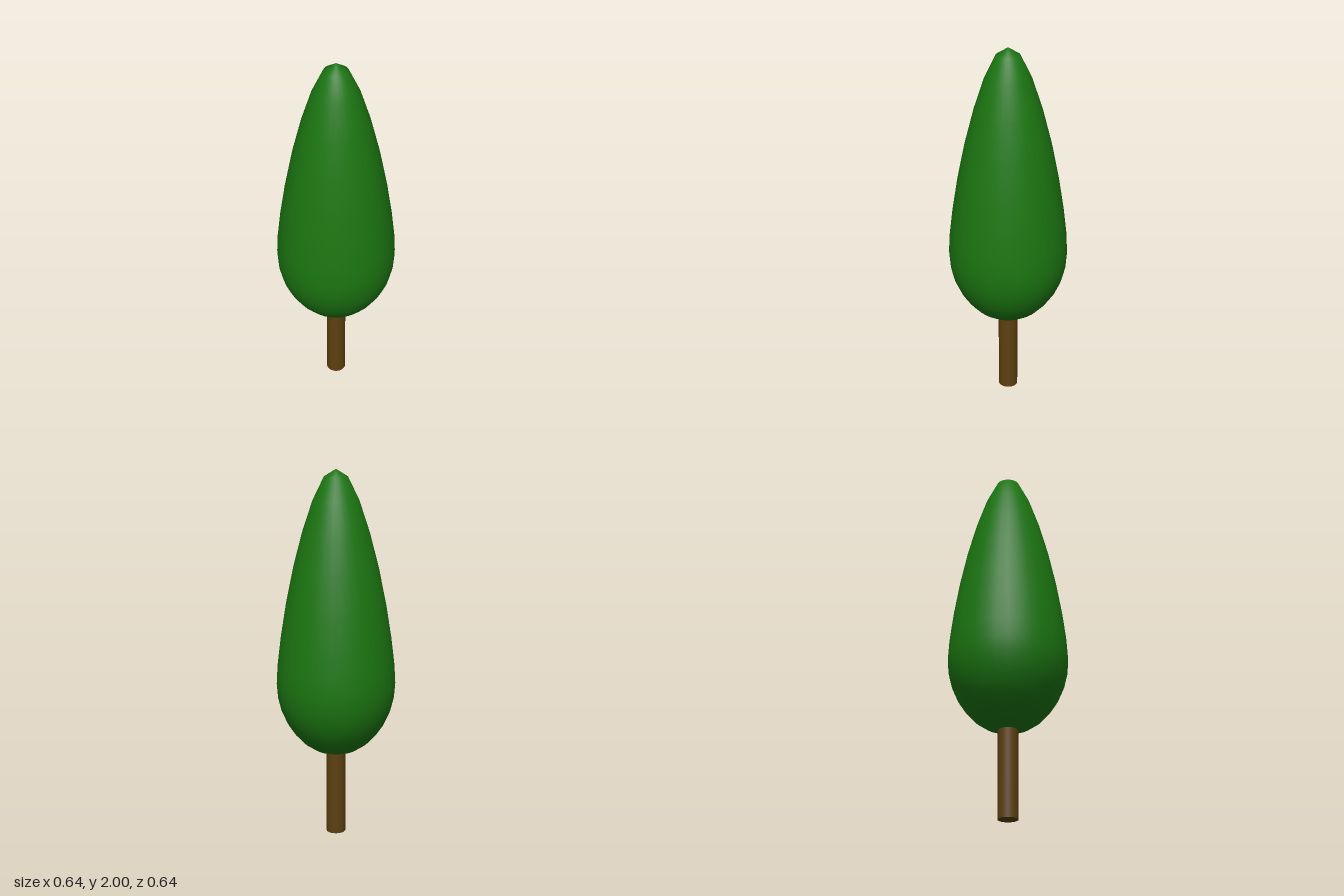
import * as THREE from 'three';

const SIDES = 32;

export function createModel() {
  const tree = new THREE.Group();
  tree.name = 'tree';

  // Trunk: plain cylinder running up into the foliage
  const trunk = new THREE.Mesh(
    new THREE.CylinderGeometry(0.053, 0.053, 0.6, SIDES),
    new THREE.MeshStandardMaterial({ color: 0x5c4010 })
  );
  trunk.name = 'trunk';
  trunk.position.y = 0.3;
  tree.add(trunk);

  // Foliage: a sphere's rings, stretched upward into a teardrop
  const heights = [
    0.463, 0.47, 0.492, 0.53, 0.583, 0.643, 0.71, 0.785, 0.865,
    0.968, 1.115, 1.295, 1.487, 1.672, 1.838, 1.961, 2,
  ];
  const last = heights.length - 1;
  const profile = heights.map((y, i) => {
    const radius = i === 0 || i === last ? 0 : 0.32 * Math.sin((Math.PI * i) / last);
    return new THREE.Vector2(radius, y);
  });
  const foliage = new THREE.Mesh(
    new THREE.LatheGeometry(profile, SIDES),
    new THREE.MeshStandardMaterial({ color: 0x1b7511 })
  );
  foliage.name = 'foliage';
  tree.add(foliage);

  return tree;
}
